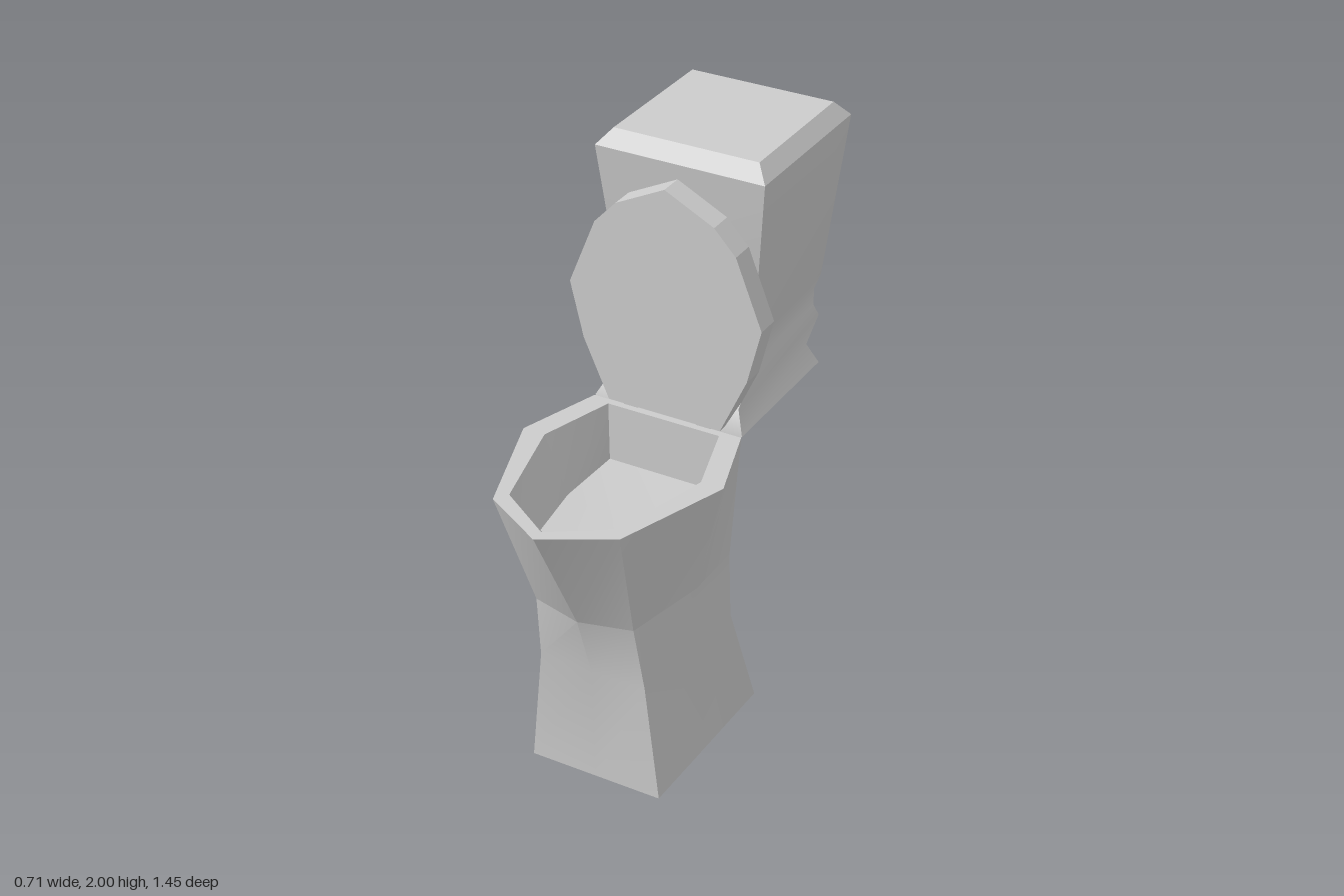
import * as THREE from 'three';
import { toCreasedNormals } from 'three/addons/utils/BufferGeometryUtils.js';

const material = new THREE.MeshStandardMaterial({ color: 0xcccccc });

// Horizontal ring from a half outline of [x, z] points, front to back, mirrored in x.
function ring(y, half, dx = 0) {
  const mirrored = half.filter(([x]) => x > 0).reverse().map(([x, z]) => [-x, z]);
  return [...half, ...mirrored].map(([x, z]) => new THREE.Vector3(x + dx, y, z));
}

const rect = (y, x, front, back) => ring(y, [[x, front], [x, back]]);

// Skin through successive rings, optionally closed at the first and last ring.
function loft(name, rings, { start = false, end = false, dip = 0, crease = 0.45 } = {}) {
  const pos = [];
  const tri = (...pts) => pts.forEach((p) => pos.push(p.x, p.y, p.z));
  const n = rings[0].length;
  const centre = (r) => r.reduce((s, p) => s.add(p), new THREE.Vector3()).divideScalar(n);
  for (let j = 0; j < n; j++) {
    const k = (j + 1) % n;
    for (let i = 0; i < rings.length - 1; i++) {
      const lo = rings[i], hi = rings[i + 1];
      tri(lo[j], lo[k], hi[k]);
      tri(lo[j], hi[k], hi[j]);
    }
    if (start) tri(centre(rings[0]), rings[0][k], rings[0][j]);
    if (end) {
      const last = rings[rings.length - 1];
      const c = centre(last);
      c.y -= dip;
      tri(c, last[j], last[k]);
    }
  }
  const geo = new THREE.BufferGeometry();
  geo.setAttribute('position', new THREE.Float32BufferAttribute(pos, 3));
  const mesh = new THREE.Mesh(toCreasedNormals(geo, crease), material);
  mesh.name = name;
  return mesh;
}

export function createModel() {
  const group = new THREE.Group();
  group.name = 'toilet';

  // Pedestal: slim waist, base kicked out to the back
  const neck = ring(0.66, [[0, 0.49], [0.175, 0.445], [0.235, 0.15], [0.235, -0.068]]);
  group.add(loft('pedestal', [
    ring(0, [[0, 0.41], [0.235, 0.41], [0.24, 0.1], [0.245, -0.23]], 0.01),
    ring(0.42, [[0, 0.415], [0.19, 0.41], [0.22, 0.15], [0.235, -0.075]], 0.004),
    neck,
  ], { start: true }));

  // Bowl: flared outside, flat rim, hollow inside with a shallow floor
  group.add(loft('bowl', [
    neck,
    ring(1.105, [[0, 0.725], [0.22, 0.6], [0.355, 0.21], [0.265, -0.075]]),
    ring(1.105, [[0, 0.68], [0.19, 0.555], [0.278, 0.21], [0.2, -0.05]]),
    ring(0.9, [[0, 0.525], [0.17, 0.435], [0.203, 0.2], [0.195, -0.048]]),
  ], { end: true, dip: 0.02 }));

  // Tank: tapered box with chamfered top, pinched waist and flared foot
  group.add(loft('tank', [
    rect(1.05, 0.2, -0.08, -0.48),
    rect(1.105, 0.265, -0.08, -0.615),
    rect(1.175, 0.23, -0.12, -0.59),
    rect(1.25, 0.235, -0.2, -0.665),
    rect(1.29, 0.222, -0.215, -0.65),
    rect(1.35, 0.222, -0.215, -0.65),
    rect(1.4, 0.236, -0.203, -0.668),
    rect(1.95, 0.292, -0.142, -0.725),
    rect(2, 0.25, -0.185, -0.682),
  ], { start: true, end: true, crease: 0.6 }));

  // Raised lid: upright faceted oval slab
  const half = [[0.2, 1.12], [0.29, 1.32], [0.337, 1.51], [0.245, 1.74], [0.17, 1.82]];
  const outline = [...half, [0, 1.905], ...half.slice().reverse().map(([x, y]) => [-x, y])];
  const shape = new THREE.Shape(outline.map(([x, y]) => new THREE.Vector2(x, y)));
  const lid = new THREE.Mesh(
    new THREE.ExtrudeGeometry(shape, { depth: 0.082, bevelEnabled: false }), material);
  lid.position.z = -0.137;
  lid.name = 'lid';
  group.add(lid);

  // Hinges joining the lid to the back of the rim
  for (const side of [-1, 1]) {
    const hinge = new THREE.Mesh(new THREE.BoxGeometry(0.05, 0.03, 0.05), material);
    hinge.position.set(side * 0.13, 1.112, -0.098);
    hinge.name = side > 0 ? 'leftHinge' : 'rightHinge';
    group.add(hinge);
  }

  return group;
}
